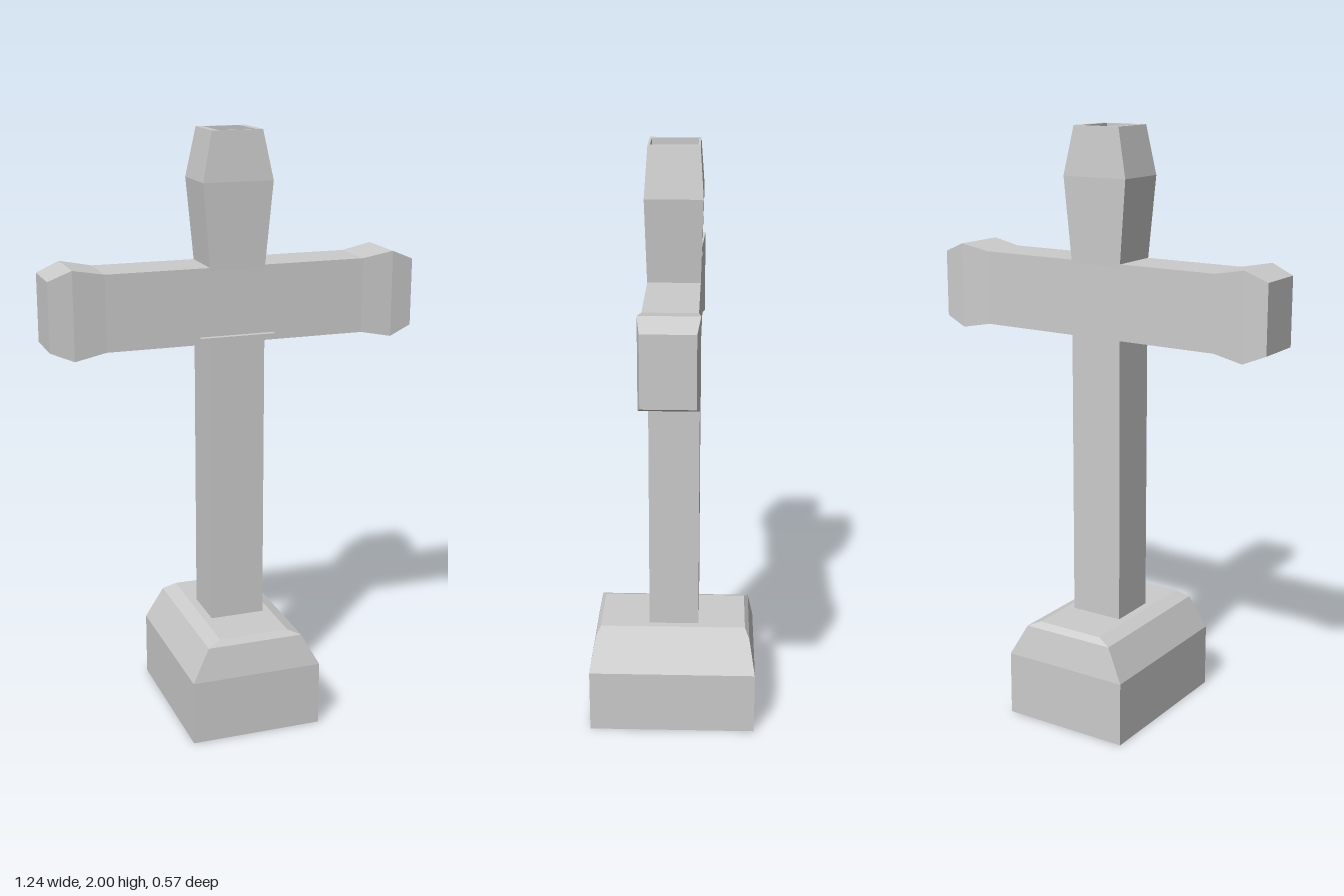
import * as THREE from 'three';

const MID_Z = -0.003;
const material = new THREE.MeshStandardMaterial({ color: 0xcccccc, flatShading: true });

// Closed loft through rectangles stacked along y: [y, halfWidth, halfDepth]
function loft(sections) {
  const rings = sections.map(([y, w, d]) => [[-w, y, d], [w, y, d], [w, y, -d], [-w, y, -d]]);
  const points = [];
  const quad = (a, b, c, d) => points.push(...a, ...b, ...c, ...a, ...c, ...d);
  for (let r = 0; r < rings.length - 1; r++) {
    for (let i = 0; i < 4; i++) {
      const j = (i + 1) % 4;
      quad(rings[r][i], rings[r][j], rings[r + 1][j], rings[r + 1][i]);
    }
  }
  quad(...[...rings[0]].reverse());
  quad(...rings[rings.length - 1]);
  const geometry = new THREE.BufferGeometry();
  geometry.setAttribute('position', new THREE.Float32BufferAttribute(points, 3));
  geometry.computeVertexNormals();
  return geometry;
}

function rectangle(path, x0, x1, y0, y1) {
  path.moveTo(x0, y0).lineTo(x1, y0).lineTo(x1, y1).lineTo(x0, y1).closePath();
  return path;
}

export function createModel() {
  const group = new THREE.Group();
  const add = (name, geometry, x = 0, y = 0, z = MID_Z) => {
    const mesh = new THREE.Mesh(geometry, material);
    mesh.name = name;
    mesh.position.set(x, y, z);
    group.add(mesh);
    return mesh;
  };

  // Bevelled plinth
  add('base', loft([[0, 0.225, 0.285], [0.22, 0.225, 0.285], [0.33, 0.165, 0.265], [0.35, 0.12, 0.25]]), 0, 0, 0);

  // Upright, stopping below the crossing so the recess stays open
  add('post', loft([[0.34, 0.093, 0.085], [1.33, 0.093, 0.085]]));

  // Flared head with a square socket sunk into its top
  add('head', loft([
    [1.56, 0.093, 0.085], [1.84, 0.118, 0.093], [2, 0.085, 0.082],
    [2, 0.062, 0.075], [1.94, 0.062, 0.075],
  ]));

  // Crossbar centre: solid back and a front plate with a rectangular opening
  const recess = 0.02;
  const armY = 1.445, armHalf = 0.125, armHalfZ = 0.085, straight = 0.44;
  add('crossbarCore', new THREE.BoxGeometry(2 * straight, 2 * armHalf, 2 * armHalfZ - recess),
    0, armY, MID_Z - recess / 2);
  const plate = rectangle(new THREE.Shape(), -straight, straight, armY - armHalf, armY + armHalf);
  plate.holes.push(rectangle(new THREE.Path(), -0.128, 0.132, 1.34, 1.545));
  add('recessedFrontPlate', new THREE.ExtrudeGeometry(plate, { depth: recess, bevelEnabled: false }),
    0, 0, MID_Z + armHalfZ - recess);

  // Flared arm ends
  for (const side of [1, -1]) {
    const end = loft([
      [straight, armHalf, armHalfZ], [0.545, 0.145, 0.093], [0.622, 0.113, 0.083],
    ]).rotateZ(-side * Math.PI / 2);
    add(side > 0 ? 'leftArmEnd' : 'rightArmEnd', end, 0, armY);
  }

  return group;
}
